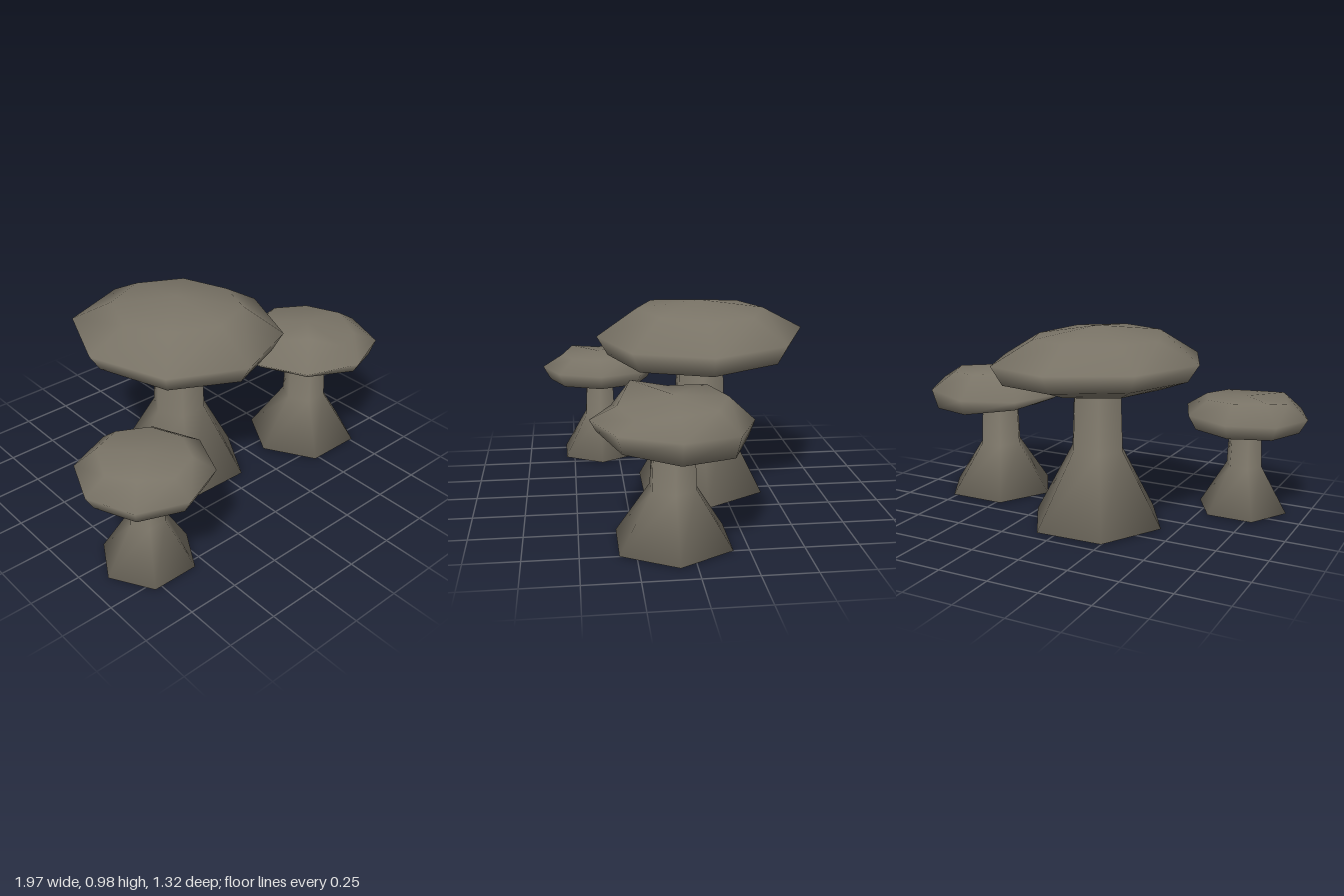
import * as THREE from 'three';

// Closed smooth solid lofted through horizontal rings from bottom to top.
// A ring is { r, y, tx, tz }; y is one height or a list with one per corner, tx/tz tilt the ring.
function loft(sides, rings, bottomY, topY) {
  const pos = [], idx = [];
  for (const { r, y, tx = 0, tz = 0 } of rings) {
    for (let k = 0; k < sides; k++) {
      const a = (k / sides) * Math.PI * 2, c = Math.cos(a), s = Math.sin(a);
      pos.push(r * c, (Array.isArray(y) ? y[k] : y) + tx * c + tz * s, r * s);
    }
  }
  const n = rings.length, bottom = n * sides, top = bottom + 1;
  pos.push(0, bottomY, 0, 0, topY, 0);
  for (let k = 0; k < sides; k++) {
    const j = (k + 1) % sides;
    for (let i = 0; i < n - 1; i++) {
      const a = i * sides + k, b = i * sides + j;
      idx.push(a, a + sides, b, b, a + sides, b + sides);
    }
    idx.push(bottom, k, j, top, (n - 1) * sides + j, (n - 1) * sides + k);
  }
  const g = new THREE.BufferGeometry();
  g.setAttribute('position', new THREE.Float32BufferAttribute(pos, 3));
  g.setIndex(idx);
  g.computeVertexNormals();
  return g;
}

const mushrooms = [
  {
    name: 'largeMushroom', x: -0.085, z: -0.142,
    stem: [{ r: 0.345, y: 0.008, tx: -0.005 }, { r: 0.138, y: 0.375 }, { r: 0.125, y: 0.72 }],
    cap: [
      { r: 0.33, y: 0.695, tx: -0.005 },
      { r: 0.465, y: 0.725, tx: -0.025, tz: -0.015 },
      { r: 0.52, y: 0.817, tx: -0.018, tz: -0.012 },
      { r: 0.32, y: [0.92, 0.935, 0.943, 0.945, 0.925, 0.935, 0.935, 0.925] },
    ],
    under: 0.685, apex: 0.98,
  },
  {
    name: 'mediumMushroom', x: 0.615, z: 0.075,
    stem: [{ r: 0.29, y: 0.008 }, { r: 0.115, y: 0.265 }, { r: 0.103, y: 0.53 }],
    cap: [
      { r: 0.22, y: 0.487, tx: -0.005 },
      { r: 0.335, y: 0.51, tx: -0.03, tz: 0.025 },
      { r: 0.365, y: 0.575, tx: 0.01, tz: 0.012 },
      { r: 0.245, y: [0.66, 0.63, 0.645, 0.715, 0.665, 0.685, 0.675, 0.66] },
    ],
    under: 0.475, apex: 0.69,
  },
  {
    name: 'smallMushroom', x: -0.675, z: 0.347,
    stem: [{ r: 0.23, y: 0.01 }, { r: 0.092, y: 0.24 }, { r: 0.083, y: 0.46 }],
    cap: [
      { r: 0.18, y: 0.432 },
      { r: 0.275, y: 0.442, tx: 0.005 },
      { r: 0.315, y: 0.515, tx: 0.007 },
      { r: 0.21, y: [0.59, 0.585, 0.58, 0.6, 0.575, 0.605, 0.6, 0.59] },
    ],
    under: 0.428, apex: 0.598,
  },
];

export function createModel() {
  const model = new THREE.Group();
  model.name = 'mushroomCluster';
  const greyBrown = new THREE.MeshStandardMaterial({ color: 0x7a7467 });
  greyBrown.name = 'greyBrown';

  for (const m of mushrooms) {
    const group = new THREE.Group();
    group.name = m.name;
    group.position.set(m.x, 0, m.z);

    // Six-sided stem flaring to a wide foot
    const foot = m.stem[0], neckTop = m.stem[2];
    const stem = new THREE.Mesh(loft(6, m.stem, foot.y - 0.005, neckTop.y), greyBrown);
    stem.name = 'stem';

    // Eight-sided, slightly uneven cap
    const cap = new THREE.Mesh(loft(8, m.cap, m.under, m.apex), greyBrown);
    cap.name = 'cap';

    group.add(stem, cap);
    model.add(group);
  }
  return model;
}
